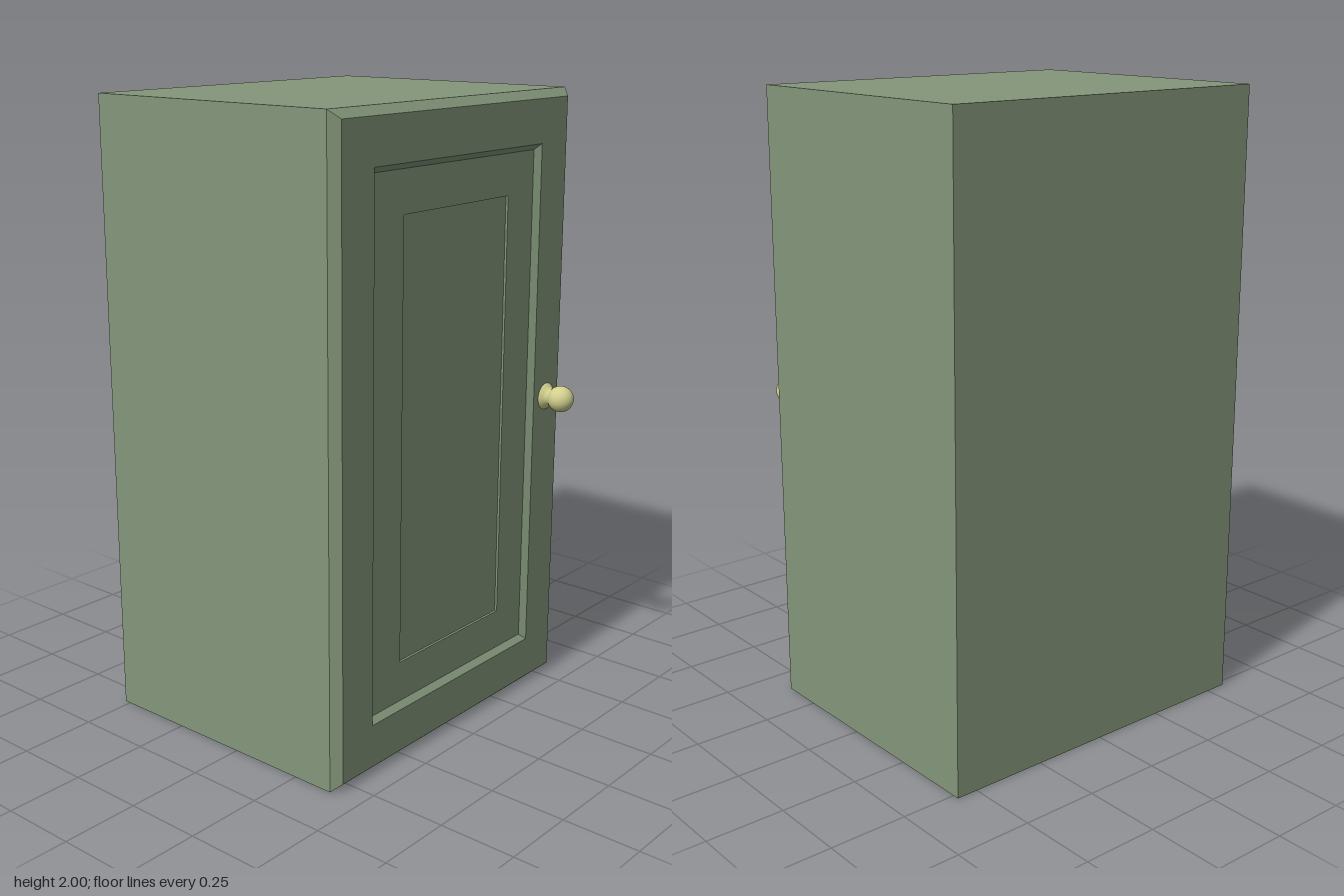
import * as THREE from 'three';

const green = new THREE.MeshStandardMaterial({ color: 0x84967a });
const brass = new THREE.MeshStandardMaterial({ color: 0xd2d08e });

// Skins a row of rectangles [x, half depth, half height] and caps the last one
function rectangleLoft(rings) {
  const pos = [];
  const corners = ([x, z, y]) => [[x, -y, z], [x, -y, -z], [x, y, -z], [x, y, z]];
  const quad = (a, b, c, d) => pos.push(...a, ...b, ...c, ...a, ...c, ...d);
  for (let i = 0; i < rings.length - 1; i++) {
    const p = corners(rings[i]), q = corners(rings[i + 1]);
    for (let k = 0; k < 4; k++) {
      const n = (k + 1) % 4;
      quad(p[k], p[n], q[n], q[k]);
    }
  }
  quad(...corners(rings[rings.length - 1]));
  const geo = new THREE.BufferGeometry();
  geo.setAttribute('position', new THREE.Float32BufferAttribute(pos, 3));
  geo.computeVertexNormals();
  return geo;
}

export function createModel() {
  const group = new THREE.Group();
  const add = (name, geo, mat, x, y, z) => {
    const mesh = new THREE.Mesh(geo, mat);
    mesh.name = name;
    mesh.position.set(x, y, z);
    group.add(mesh);
    return mesh;
  };

  // Cabinet body
  add('cabinetBody', new THREE.BoxGeometry(0.91, 2, 1.142), green, -0.066, 1, 0);

  // Door on the +x side: bevelled rim, flat frame, sloped moulding, sunken panel
  add('door', rectangleLoft([
    [0.389, 0.571, 1],
    [0.418, 0.545, 0.974],
    [0.418, 0.408, 0.836],
    [0.4, 0.39, 0.818],
    [0.4, 0.256, 0.688],
    [0.392, 0.256, 0.688],
  ]), green, 0, 1, 0);

  // Knob: flared foot, thin neck and ball, turned around the x axis
  const r = 0.043, ball = 0.058;
  const profile = [[0.045, -0.002], [0.043, 0.003], [0.034, 0.01], [0.028, 0.018]]
    .map(([a, b]) => new THREE.Vector2(a, b));
  const start = Math.asin(0.028 / r);
  for (let i = 0; i <= 18; i++) {
    const t = Math.PI - start - (Math.PI - start) * i / 18;
    profile.push(new THREE.Vector2(Math.max(0, r * Math.sin(t)), ball + r * Math.cos(t)));
  }
  const knob = add('knob', new THREE.LatheGeometry(profile, 32), brass, 0.418, 1.008, -0.478);
  knob.rotation.z = -Math.PI / 2;

  return group;
}
